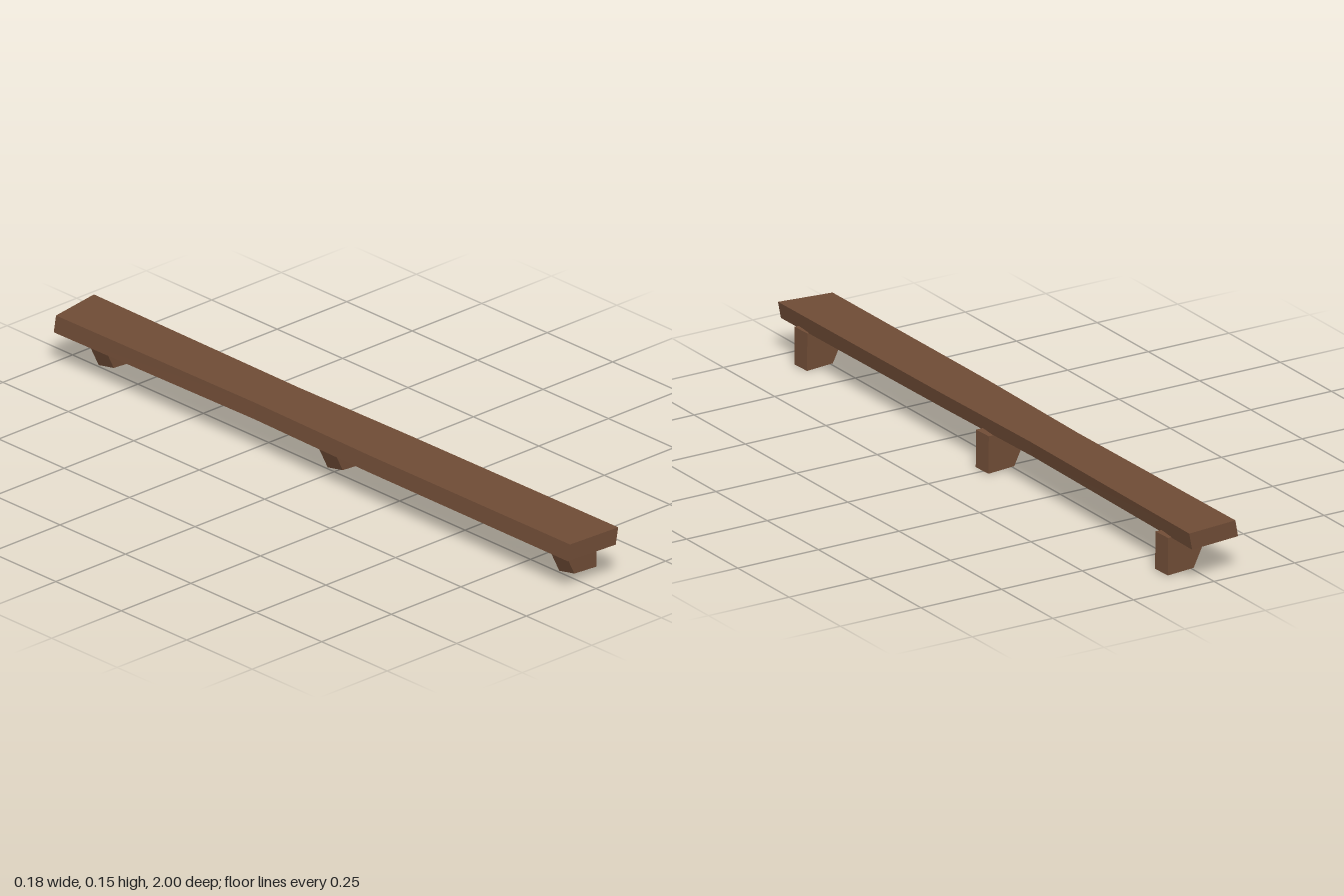
import * as THREE from 'three';

const wood = new THREE.MeshStandardMaterial({ color: 0x6e4b35, flatShading: true });
wood.name = 'brown wood';

// Lofts equal rings of [x, y, z], counter-clockwise seen from the front, ordered front to back.
function loft(name, rings) {
  const n = rings[0].length, last = (rings.length - 1) * n, index = [];
  for (let r = 0; r < rings.length - 1; r++) {
    for (let i = 0; i < n; i++) {
      const j = (i + 1) % n;
      const a = r * n + i, b = r * n + j, c = b + n, d = a + n;
      index.push(a, d, c, a, c, b);
    }
  }
  for (let i = 1; i < n - 1; i++) {
    index.push(0, i, i + 1, last, last + i + 1, last + i);
  }
  const indexed = new THREE.BufferGeometry();
  indexed.setAttribute('position', new THREE.Float32BufferAttribute(rings.flat(2), 3));
  indexed.setIndex(index);
  const geometry = indexed.toNonIndexed();
  geometry.computeVertexNormals();
  const mesh = new THREE.Mesh(geometry, wood);
  mesh.name = name;
  return mesh;
}

export function createModel() {
  const group = new THREE.Group();
  group.name = 'wallShelf';

  // Uneven plank: top edges left/right, z at each edge, underside height
  const sections = [
    { xl: -0.079, xr: 0.082, zl: 0.985, zr: 0.998, bottom: 0.103 },
    { xl: -0.081, xr: 0.077, zl: 0.22, zr: 0.21, bottom: 0.105 },
    { xl: -0.074, xr: 0.07, zl: -0.22, zr: -0.21, bottom: 0.106 },
    { xl: -0.081, xr: 0.077, zl: -0.977, zr: -1, bottom: 0.103 },
  ];
  group.add(loft('plank', sections.map(({ xl, xr, zl, zr, bottom }) => [
    [xl - 0.008, bottom - 0.001, zl],
    [xr - 0.009, bottom + 0.001, zr],
    [xr, 0.151, zr],
    [xl, 0.148, zl],
  ])));

  // Brackets with a sloping inner edge, skewed a little from front to back
  const profile = [[0.008, 0.011], [0.088, 0.006], [0.087, 0.111], [-0.041, 0.111]];
  ['front', 'middle', 'back'].forEach((place, i) => {
    const z = [0.885, 0, -0.875][i];
    const ring = (dx, dy, dz) => profile.map(([x, y]) => [x + dx, Math.min(y + dy, 0.111), z + dz]);
    group.add(loft(place + 'Bracket', [ring(0, 0, 0.024), ring(-0.009, -0.005, -0.024)]));
  });

  return group;
}
